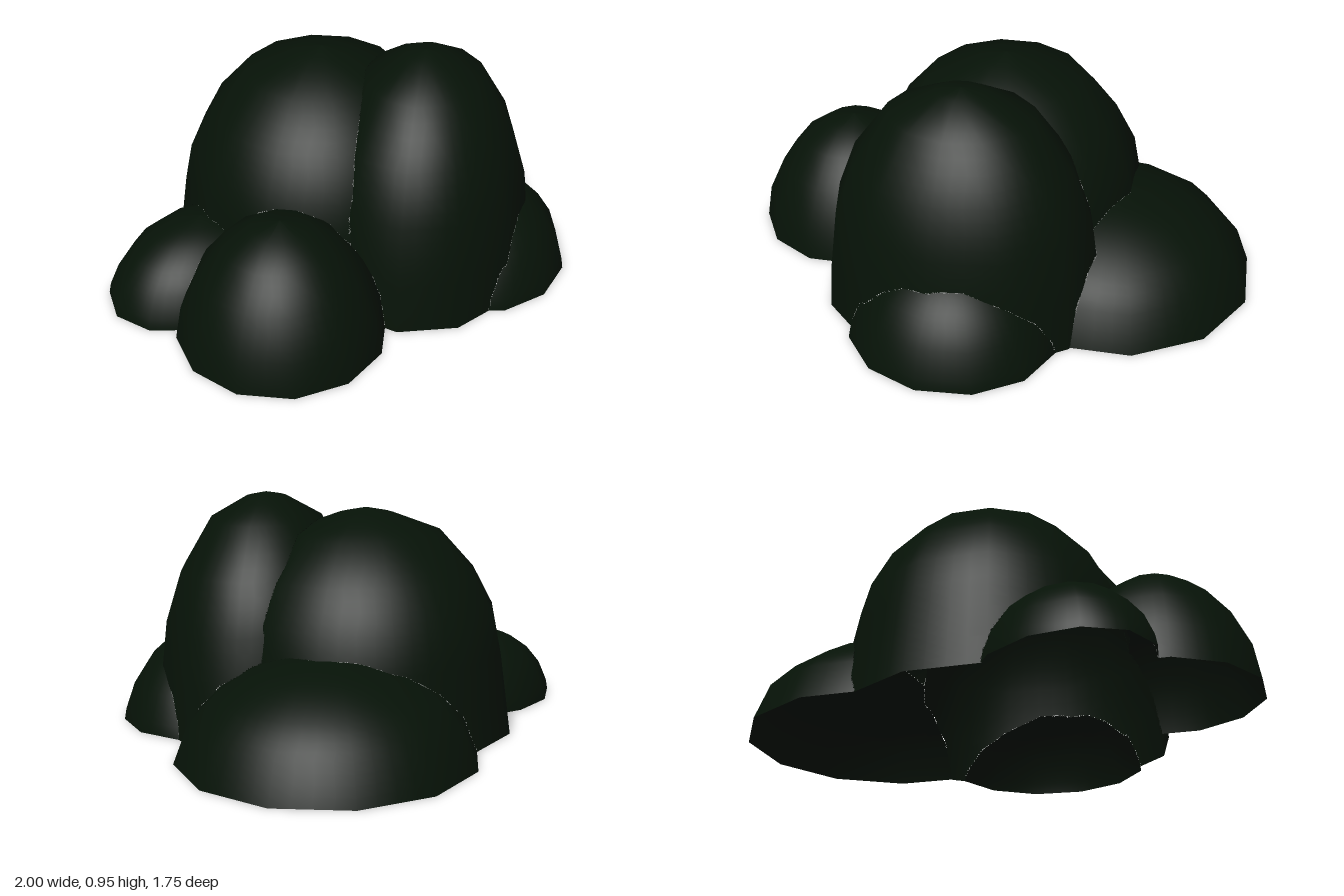
import * as THREE from 'three';

const MAX_DEPTH = 5;

// ellipsoid sunk into the ground: [radius, height] rings every 15 degrees above y = 0
function sunk(base, radius, height, centreY) {
  const profile = [[base, 0]];
  for (let i = 0; i <= 6; i++) {
    const a = (i * Math.PI) / 12;
    const y = centreY + height * Math.sin(a);
    if (y > 0.04) profile.push([i === 6 ? 0 : radius * Math.cos(a), y]);
  }
  return profile;
}

// twelve-sided convex dome: triangles with smooth normals, plus the planes bounding it
function dome(name, x, z, profile, { sx = 1, sz = 1, turn = 0, axis = 0 } = {}) {
  const points = profile.map(([r, y]) => new THREE.Vector2(r, y));
  const geometry = new THREE.LatheGeometry(points, 12);
  geometry.rotateY(turn).scale(sx, 1, sz).rotateY(axis).translate(x, 0, z);
  const { position, normal } = geometry.attributes;
  const index = geometry.index.array;
  const triangles = [];
  const planes = [];
  for (let i = 0; i < index.length; i += 3) {
    const corners = [0, 1, 2].map((k) => ({
      p: new THREE.Vector3().fromBufferAttribute(position, index[i + k]),
      n: new THREE.Vector3().fromBufferAttribute(normal, index[i + k]),
    }));
    const face = new THREE.Triangle(...corners.map((c) => c.p));
    if (face.getArea() < 1e-6) continue;
    triangles.push(corners);
    planes.push(face.getPlane(new THREE.Plane()));
  }
  return { name, triangles, planes };
}

const inside = (d, p) => d.planes.every((plane) => plane.distanceToPoint(p) < 0);

const middle = (a, b) => ({
  p: a.p.clone().lerp(b.p, 0.5),
  n: a.n.clone().lerp(b.n, 0.5).normalize(),
});

// keep only what lies outside the other domes, splitting triangles along the seams
function trim([a, b, c], others, depth, out) {
  const corners = [a, b, c];
  if (others.some((d) => corners.every((v) => inside(d, v.p)))) return;
  const touched = others.some((d) => corners.some((v) => inside(d, v.p)));
  if (depth === MAX_DEPTH || (!touched && depth >= 2)) {
    const centre = a.p.clone().add(b.p).add(c.p).divideScalar(3);
    if (!others.some((d) => inside(d, centre))) out.push(...corners);
    return;
  }
  const ab = middle(a, b), bc = middle(b, c), ca = middle(c, a);
  for (const t of [[a, ab, ca], [ab, b, bc], [ca, bc, c], [ab, bc, ca]]) trim(t, others, depth + 1, out);
}

export function createModel() {
  const model = new THREE.Group();
  model.name = 'bush';
  const leaf = new THREE.MeshStandardMaterial({ color: 0x061207, side: THREE.DoubleSide });

  const domes = [
    // two tall clumps
    dome('centreClump', 0, -0.04,
      [[0.615, 0], [0.595, 0.15], [0.57, 0.33], [0.54, 0.48], [0.455, 0.64], [0.31, 0.8], [0.11, 0.875], [0, 0.897]]),
    dome('frontTallClump', 0.235, 0.32,
      [[0.51, 0], [0.495, 0.2], [0.465, 0.44], [0.395, 0.64], [0.262, 0.84], [0.09, 0.93], [0, 0.947]],
      { sx: 1.11, sz: 0.9, axis: 0.7 }),
    // low clumps around them
    dome('backLeftClump', 0.41, -0.29, sunk(0.59, 0.615, 0.49, -0.095)),
    dome('frontRightClump', -0.53, 0.39, sunk(0.41, 0.445, 0.72, -0.22)),
    dome('backRightClump', -0.59, -0.07, sunk(0.41, 0.415, 0.36, -0.05), { sz: 0.76 }),
    dome('frontLeftClump', 0.41, 0.48, sunk(0.405, 0.41, 0.45, -0.07),
      { sx: 1.03, sz: 0.93, turn: -0.08, axis: 0.7 }),
  ];

  // one hollow, open-bottomed shell
  for (const d of domes) {
    const others = domes.filter((o) => o !== d);
    const vertices = [];
    for (const t of d.triangles) trim(t, others, 0, vertices);
    const geometry = new THREE.BufferGeometry();
    geometry.setAttribute('position', new THREE.Float32BufferAttribute(vertices.flatMap((v) => v.p.toArray()), 3));
    geometry.setAttribute('normal', new THREE.Float32BufferAttribute(vertices.flatMap((v) => v.n.toArray()), 3));
    const mesh = new THREE.Mesh(geometry, leaf);
    mesh.name = d.name;
    model.add(mesh);
  }
  return model;
}
